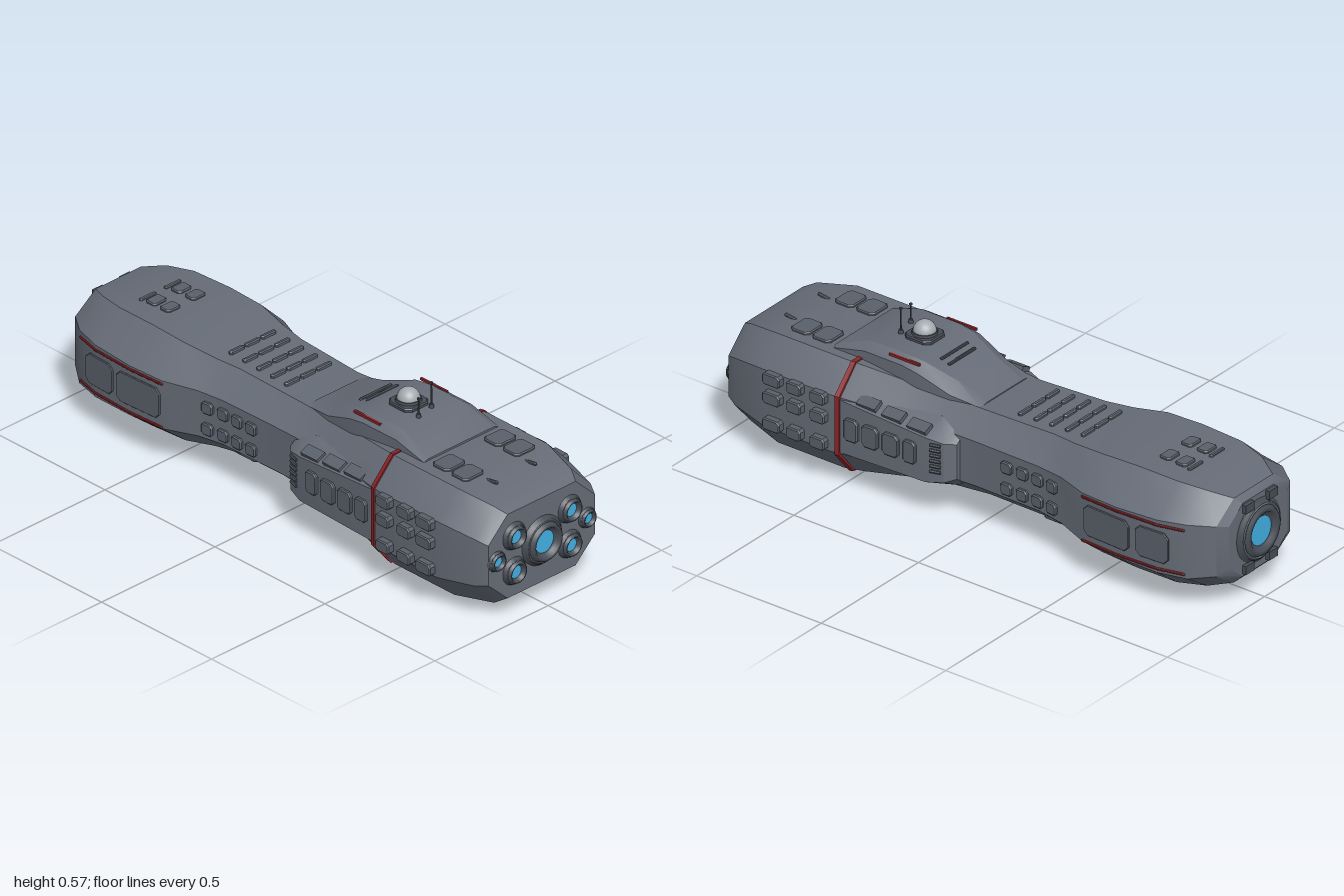
import * as THREE from 'three';
import { toCreasedNormals } from 'three/addons/utils/BufferGeometryUtils.js';

const mat = (name, color, side = THREE.FrontSide) => {
  const m = new THREE.MeshStandardMaterial({ color, side });
  m.name = name;
  return m;
};

// Eight-sided sections: x, half width, bottom, top, top flat, side top, side bottom, bottom flat
const HULL = [
  [-0.975, 0.15, 0.1, 0.365, 0.08, 0.31, 0.16, 0.08],
  [-0.955, 0.19, 0.08, 0.385, 0.1, 0.32, 0.14, 0.1],
  [-0.88, 0.245, 0.06, 0.405, 0.14, 0.325, 0.13, 0.14],
  [-0.78, 0.27, 0.052, 0.416, 0.165, 0.32, 0.13, 0.17],
  [-0.62, 0.277, 0.05, 0.42, 0.17, 0.315, 0.135, 0.17],
  [-0.48, 0.27, 0.055, 0.415, 0.17, 0.315, 0.14, 0.165],
  [-0.36, 0.225, 0.075, 0.4, 0.15, 0.31, 0.145, 0.145],
  [-0.26, 0.212, 0.083, 0.395, 0.135, 0.31, 0.15, 0.13],
  [0, 0.208, 0.085, 0.385, 0.13, 0.31, 0.15, 0.13],
  [0.15, 0.21, 0.077, 0.39, 0.14, 0.31, 0.145, 0.14],
  [0.3, 0.235, 0.062, 0.402, 0.16, 0.32, 0.14, 0.165],
  [0.45, 0.27, 0.045, 0.42, 0.19, 0.33, 0.13, 0.2],
  [0.52, 0.285, 0.037, 0.425, 0.2, 0.335, 0.13, 0.21],
  [0.79, 0.285, 0.037, 0.425, 0.2, 0.335, 0.13, 0.21],
  [0.93, 0.255, 0.05, 0.402, 0.17, 0.315, 0.145, 0.17],
  [0.97, 0.235, 0.075, 0.382, 0.15, 0.3, 0.155, 0.15],
];
const SPONSON = [
  [0.06, 0.225, 0.13, 0.31, 0.19, 0.285, 0.16, 0.18],
  [0.09, 0.255, 0.11, 0.325, 0.19, 0.29, 0.15, 0.18],
  [0.15, 0.272, 0.1, 0.34, 0.185, 0.3, 0.14, 0.18],
  [0.49, 0.28, 0.085, 0.37, 0.19, 0.325, 0.135, 0.2],
];
const BRIDGE = [
  [0.04, 0.13, 0.36, 0.39, 0.09, 0.384, 0.37, 0.12],
  [0.15, 0.147, 0.36, 0.43, 0.1, 0.4, 0.37, 0.13],
  [0.27, 0.163, 0.37, 0.472, 0.125, 0.445, 0.38, 0.15],
  [0.33, 0.165, 0.38, 0.478, 0.13, 0.455, 0.39, 0.15],
  [0.48, 0.165, 0.4, 0.478, 0.13, 0.455, 0.41, 0.15],
  [0.605, 0.165, 0.4, 0.432, 0.145, 0.425, 0.41, 0.15],
];

// Section interpolated at any x
function sectionAt(x, list = HULL) {
  let i = 1;
  while (i < list.length - 1 && list[i][0] < x) i++;
  const a = list[i - 1], b = list[i], k = (x - a[0]) / (b[0] - a[0]);
  return a.map((v, j) => v + (b[j] - v) * k);
}

// Skin through the sections, capped at both ends
function loft(list) {
  const rings = list.map(([x, w, yb, yt, t, sT, sB, b]) =>
    [[-t, yt], [t, yt], [w, sT], [w, sB], [b, yb], [-b, yb], [-w, sB], [-w, sT]].map(([z, y]) => [x, y, z]));
  const pos = [];
  const tri = (...p) => p.forEach((v) => pos.push(...v));
  for (let r = 0; r + 1 < rings.length; r++) {
    const a = rings[r], b = rings[r + 1];
    for (let i = 0; i < 8; i++) {
      const j = (i + 1) % 8;
      tri(a[i], a[j], b[j]);
      tri(a[i], b[j], b[i]);
    }
  }
  const first = rings[0], last = rings[rings.length - 1];
  for (let i = 1; i < 7; i++) {
    tri(last[0], last[i], last[i + 1]);
    tri(first[0], first[i + 1], first[i]);
  }
  const g = new THREE.BufferGeometry();
  g.setAttribute('position', new THREE.Float32BufferAttribute(pos, 3));
  return toCreasedNormals(g, 0.45);
}

// Plate with cut corners and a bevelled rim, rising along +z
function plateGeo(w, h, d) {
  const c = Math.min(w, h) * 0.15, bev = Math.min(0.004, d * 0.4), a = w / 2 - bev, b = h / 2 - bev;
  const s = new THREE.Shape([[-a + c, -b], [a - c, -b], [a, -b + c], [a, b - c], [a - c, b], [-a + c, b], [-a, b - c], [-a, -b + c]]
    .map(([x, y]) => new THREE.Vector2(x, y)));
  return new THREE.ExtrudeGeometry(s, { depth: d - bev, bevelThickness: bev, bevelSize: bev, bevelSegments: 1 });
}

export function createModel() {
  const ship = new THREE.Group();
  ship.name = 'ship';
  const hull = mat('hull grey', 0x666c77);
  const panel = mat('panel grey', 0x5a606a);
  const dark = mat('engine metal', 0x474c55, THREE.DoubleSide);
  const red = mat('red trim', 0x8c2428);
  const blue = mat('blue glow', 0x42b0e2);
  const pale = mat('dome grey', 0xa3acb1);

  const add = (name, geo, m, x = 0, y = 0, z = 0, rx = 0, ry = 0, rz = 0) => {
    const mesh = new THREE.Mesh(geo, m);
    mesh.name = name;
    mesh.position.set(x, y, z);
    mesh.rotation.set(rx, ry, rz);
    ship.add(mesh);
    return mesh;
  };
  // Plates on both flanks, the deck and the belly, following the surface slope
  const flank = (name, x, y, w, h, d, m = panel, list = HULL) => {
    const slope = Math.atan2(sectionAt(x + 0.02, list)[1] - sectionAt(x - 0.02, list)[1], 0.04);
    for (const s of [1, -1]) {
      add(name, plateGeo(w, h, d), m, x, y, s * (sectionAt(x, list)[1] - 0.001), 0, s > 0 ? -slope : Math.PI + slope);
    }
  };
  const deck = (name, x, z, w, l, d, m = panel, list = HULL) => {
    const slope = Math.atan2(sectionAt(x + 0.02, list)[3] - sectionAt(x - 0.02, list)[3], 0.04);
    const holder = add(name, plateGeo(w, l, d), m, x, sectionAt(x, list)[3] - 0.001, z);
    holder.rotation.set(-Math.PI / 2, slope, 0);
  };
  const belly = (name, x, z, w, l, d, m = panel) =>
    add(name, plateGeo(w, l, d + 0.006), m, x, sectionAt(x)[2] + 0.006, z, Math.PI / 2);

  // Main bodies
  add('hull', loft(HULL), hull);
  add('sideSponsons', loft(SPONSON), hull);
  add('bridge', loft(BRIDGE), hull);
  const band = [0.487, 0.503].map((x) => {
    const s = sectionAt(x);
    return [x, s[1] + 0.007, s[2] - 0.005, s[3] + 0.004, s[4] + 0.004, s[5] + 0.004, s[6] - 0.004, s[7] + 0.004];
  });
  add('redBand', loft(band), red);

  // Nozzles at the stern and a sensor ring at the bow
  const nozzle = (name, x, y, z, r, d, dir) => {
    const p = [[1.12, 0], [1.12, 0.2], [1, 0.25], [1, 0.55], [0.86, 0.62], [0.82, 1], [0.68, 1], [0.62, 0.6], [0.5, 0.5]];
    add(name, new THREE.LatheGeometry(p.map(([a, b]) => new THREE.Vector2(a * r, b * d)), 32), dark, x, y, z, 0, 0, -dir * Math.PI / 2);
    add(name + 'Glow', new THREE.CircleGeometry(r * 0.51, 28), blue, x + dir * d * 0.52, y, z, 0, dir * Math.PI / 2);
    add(name + 'Rim', new THREE.TorusGeometry(r * 0.92, r * 0.035, 6, 32), hull, x + dir * d * 0.62, y, z, 0, Math.PI / 2);
  };
  nozzle('mainEngine', 0.965, 0.228, 0, 0.078, 0.035, 1);
  for (const s of [1, -1]) {
    for (const y of [0.293, 0.165]) nozzle('engine', 0.965, y, s * 0.122, 0.044, 0.028, 1);
    nozzle('smallEngine', 0.965, 0.23, s * 0.199, 0.034, 0.022, 1);
    for (const y of [0.345, 0.125]) add('bowClamp', new THREE.BoxGeometry(0.03, 0.03, 0.045), dark, -0.975, y, s * 0.06);
  }
  nozzle('bowSensor', -0.972, 0.235, 0, 0.1, 0.028, -1);

  // Bow flanks: long panels and red stripes
  for (const [x, w] of [[-0.76, 0.13], [-0.58, 0.19]]) flank('bowPanel', x, 0.226, w, 0.11, 0.006);
  for (const [x, w] of [[-0.825, 0.1], [-0.7, 0.16], [-0.55, 0.15]]) {
    for (const y of [0.303, 0.145]) flank('redStripe', x, y, w, 0.009, 0.006, red);
  }

  // Neck windows
  for (let i = 0; i < 4; i++) {
    for (const y of [0.262, 0.185]) flank('neckPanel', -0.32 + i * 0.063, y, 0.046, 0.042, 0.012);
  }

  // Sponson panels, louvres and shoulder plates
  [[0.21, 0.05], [0.285, 0.065], [0.365, 0.065], [0.44, 0.055]].forEach(([x, w]) =>
    flank('sponsonPanel', x, 0.232, w, 0.08, 0.012, panel, SPONSON));
  for (let i = 0; i < 6; i++) flank('louvre', 0.117, 0.185 + i * 0.019, 0.045, 0.01, 0.01, dark, SPONSON);
  for (const s of [1, -1]) {
    for (const x of [0.19, 0.29, 0.39]) {
      const q = sectionAt(x, SPONSON), tilt = Math.atan2(q[1] - q[4], q[3] - q[5]);
      add('shoulderPlate', new THREE.BoxGeometry(0.075, 0.04, 0.02), panel,
        x, (q[3] + q[5]) / 2 - 0.006, s * ((q[1] + q[4]) / 2 + 0.02), -s * tilt);
    }
  }

  // Stern armour grid
  for (const [x, w] of [[0.56, 0.06], [0.655, 0.06], [0.745, 0.07]]) {
    for (const y of [0.318, 0.25, 0.155]) flank('sternPanel', x, y, w, 0.042, 0.025);
  }

  // Deck details
  for (let i = 0; i < 5; i++) {
    for (const z of [-0.07, 0, 0.07]) deck('deckVent', -0.345 + i * 0.063, z, 0.016, 0.062, 0.012);
  }
  for (const s of [1, -1]) {
    for (const x of [-0.725, -0.662]) deck('bowHatch', x, s * 0.055, 0.045, 0.06, 0.009);
    deck('bowStrip', -0.765, s * 0.055, 0.014, 0.07, 0.007);
    for (const x of [0.665, 0.75]) deck('sternHatch', x, s * 0.113, 0.075, 0.09, 0.009);
    deck('sternStrip', 0.83, s * 0.085, 0.06, 0.012, 0.008);
    add('bridgeStripe', new THREE.BoxGeometry(0.12, 0.008, 0.008), red, 0.33, 0.468, s * 0.147);
  }
  for (const x of [0.215, 0.245]) deck('bridgeSlot', x, 0, 0.012, 0.14, 0.007, dark, BRIDGE);

  // Sensor dome and masts
  add('domeBase', plateGeo(0.105, 0.105, 0.014), dark, 0.365, 0.476, 0, -Math.PI / 2);
  add('domeCollar', new THREE.CylinderGeometry(0.041, 0.043, 0.012, 28), dark, 0.365, 0.493, 0);
  add('sensorDome', new THREE.SphereGeometry(0.038, 28, 18), pale, 0.365, 0.496, 0);
  for (const [x, z, top] of [[0.435, -0.033, 0.57], [0.452, 0.04, 0.548]]) {
    add('mast', new THREE.CylinderGeometry(0.0025, 0.003, top - 0.475, 8), dark, x, (top + 0.475) / 2, z);
    add('mastTip', new THREE.BoxGeometry(0.008, 0.006, 0.008), dark, x, top - 0.003, z);
    add('mastFoot', new THREE.CylinderGeometry(0.007, 0.009, 0.014, 10), dark, x, 0.484, z);
  }

  // Belly plates, vents and domes
  belly('bellyPlate', -0.59, 0, 0.31, 0.26, 0.01);
  add('bellyDomeRing', new THREE.CylinderGeometry(0.062, 0.07, 0.02, 28), panel, -0.61, 0.035, 0, Math.PI);
  const dome = add('bellyDome', new THREE.SphereGeometry(0.045, 28, 14), hull, -0.61, 0.027, 0);
  dome.scale.y = 0.6;
  for (const s of [1, -1]) {
    belly('sternVent', 0.645, s * 0.1, 0.14, 0.11, 0.018);
    belly('neckVent', -0.265, s * 0.085, 0.13, 0.075, 0.016);
    for (let i = 0; i < 5; i++) {
      add('sternVentSlat', new THREE.BoxGeometry(0.01, 0.008, 0.08), dark, 0.601 + i * 0.022, 0.019, s * 0.1);
      add('neckVentSlat', new THREE.BoxGeometry(0.01, 0.008, 0.05), dark, -0.305 + i * 0.02, 0.066, s * 0.085);
    }
  }
  belly('bellyHatch', 0.29, 0, 0.14, 0.14, 0.01);
  add('bellyHatchCap', new THREE.CylinderGeometry(0.035, 0.03, 0.014, 24), dark, 0.29, 0.05, 0);
  for (const x of [-0.07, 0.1]) belly('bellyPanel', x, 0, 0.14, 0.19, 0.006);

  return ship;
}
